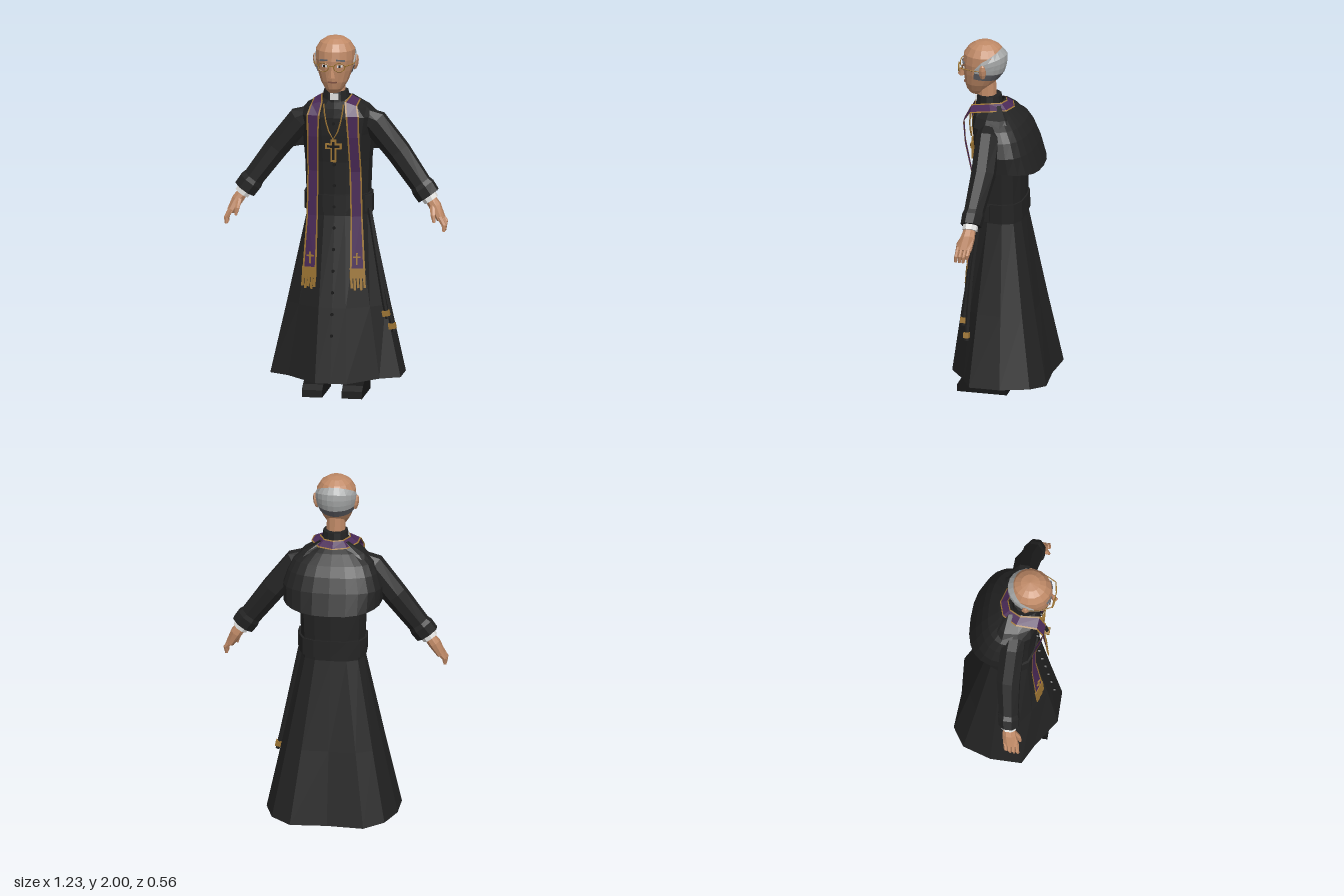
import * as THREE from 'three';

const mat = (name, color) => new THREE.MeshStandardMaterial({ name, color, side: THREE.DoubleSide });
const lerp = THREE.MathUtils.lerp;

// Faceted normals for any geometry
function flat(geo) {
  const g = geo.index ? geo.toNonIndexed() : geo;
  g.computeVertexNormals();
  return g;
}

// Surface from a rule f(i, j) -> [x, y, z]
function grid(nu, nv, f) {
  const pos = [], idx = [];
  for (let j = 0; j <= nv; j++) for (let i = 0; i <= nu; i++) pos.push(...f(i, j));
  for (let j = 0; j < nv; j++) for (let i = 0; i < nu; i++) {
    const a = j * (nu + 1) + i, b = a + 1, c = a + nu + 1, d = c + 1;
    idx.push(a, b, d, a, d, c);
  }
  const g = new THREE.BufferGeometry();
  g.setAttribute('position', new THREE.Float32BufferAttribute(pos, 3));
  g.setIndex(idx);
  return flat(g);
}

// Limb along rows of [x, y, z, radius in the xy plane, radius in z]
function limb(rows, sides = 8) {
  const all = [[...rows[0].slice(0, 3), 0, 0], ...rows, [...rows.at(-1).slice(0, 3), 0, 0]];
  const n = rows.length;
  return grid(sides, n + 1, (i, j) => {
    const k = Math.min(Math.max(j - 1, 0), n - 1);
    const p = rows[Math.max(k - 1, 0)], q = rows[Math.min(k + 1, n - 1)];
    const dx = q[0] - p[0], dy = q[1] - p[1], l = Math.hypot(dx, dy) || 1;
    const a = (i + 0.5) / sides * Math.PI * 2, [x, y, z, r1, r2] = all[j];
    return [x - dy / l * Math.cos(a) * r1, y + dx / l * Math.cos(a) * r1, z + Math.sin(a) * r2];
  });
}

// Interpolate rows whose first entry is the height
function rowAt(rows, y) {
  let k = 0;
  while (k < rows.length - 2 && rows[k + 1][0] < y) k++;
  const t = (y - rows[k][0]) / (rows[k + 1][0] - rows[k][0]);
  return rows[k].map((v, i) => lerp(v, rows[k + 1][i], t));
}

// Cassock: half outlines for the hem and the torso, then [y, half width, front, back, torso share]
const HEM = [[0, 1], [0.24, 1], [0.7, 0.62], [1, 0.42], [1, -0.2], [0.86, -0.76], [0.56, -1], [0, -0.95]];
const TORSO = [[0, 1], [0.35, 0.97], [0.75, 0.8], [0.97, 0.4], [1, -0.2], [0.85, -0.7], [0.5, -0.95], [0, -1]];
const BODY = [
  [0.09, 0.36, 0.275, -0.28, 0], [0.5, 0.275, 0.22, -0.205, 0.3], [1.0, 0.172, 0.147, -0.118, 0.9],
  [1.12, 0.175, 0.145, -0.115, 1], [1.3, 0.182, 0.15, -0.115, 1], [1.45, 0.195, 0.165, -0.11, 1],
  [1.55, 0.215, 0.17, -0.09, 1], [1.6, 0.17, 0.165, -0.05, 1], [1.655, 0.075, 0.155, 0.015, 1],
];
function bodyPoint(i, y, grow = 1) {
  const k = i <= 7 ? i : 14 - i, s = i <= 7 ? 1 : -1;
  const [, hx, zf, zb, t] = rowAt(BODY, y);
  const x = lerp(HEM[k][0], TORSO[k][0], t), z = lerp(HEM[k][1], TORSO[k][1], t);
  return [s * x * hx * grow, y, z * (z > 0 ? zf : -zb) * grow];
}

// Head: [y, half width, front, back]
const HEAD = [
  [1.695, 0.03, 0.19, 0.12], [1.72, 0.052, 0.212, 0.09], [1.76, 0.076, 0.222, 0.06], [1.82, 0.097, 0.23, 0.015],
  [1.88, 0.108, 0.235, -0.005], [1.93, 0.107, 0.228, -0.003], [1.97, 0.083, 0.2, 0.025],
  [1.992, 0.05, 0.165, 0.06], [2.0, 0.001, 0.112, 0.11],
];
function headPoint(a, y, grow = 0) {
  const [, hx, zf, zb] = rowAt(HEAD, y);
  return [Math.sin(a) * (hx + grow), y, (zf + zb) / 2 + Math.cos(a) * ((zf - zb) / 2 + grow)];
}

// Stole, from nape to fringe: outer edge and inner edge
const STOLE = [
  [[0, 1.628, -0.055], [0, 1.665, -0.008]], [[0.08, 1.63, -0.03], [0.05, 1.665, 0.01]],
  [[0.13, 1.635, 0.05], [0.08, 1.667, 0.07]], [[0.13, 1.62, 0.165], [0.06, 1.645, 0.172]],
  [[0.145, 1.57, 0.2], [0.072, 1.57, 0.21]], [[0.145, 1.45, 0.19], [0.08, 1.45, 0.2]],
  [[0.15, 1.25, 0.145], [0.085, 1.25, 0.158]], [[0.155, 1.0, 0.142], [0.09, 1.0, 0.156]],
  [[0.173, 0.71, 0.165], [0.092, 0.71, 0.19]],
];

export function createModel() {
  const model = new THREE.Group();
  const black = mat('black cloth', 0x232323), jet = mat('deep black', 0x171717);
  const purple = mat('purple', 0x4a2a58), gold = mat('gold', 0x9c7433);
  const skin = mat('skin', 0xc08a67), lip = mat('dark skin', 0x7d5040);
  const grey = mat('grey hair', 0xa6a8a8), slate = mat('dark grey hair', 0x64646a), white = mat('white', 0xe2e2e0);

  const add = (name, geo, material, x = 0, y = 0, z = 0, rx = 0, ry = 0, rz = 0) => {
    const m = new THREE.Mesh(flat(geo), material);
    m.name = name;
    m.position.set(x, y, z);
    m.rotation.set(rx, ry, rz);
    model.add(m);
    return m;
  };
  const box = (name, material, w, h, d, ...at) => add(name, new THREE.BoxGeometry(w, h, d), material, ...at);
  const path = (name, pts, r, material) => add(name, new THREE.TubeGeometry(
    new THREE.CatmullRomCurve3(pts.map(p => new THREE.Vector3(...p))), 8, r, 4), material);

  // Robe, belt and buttons
  add('cassock', grid(14, BODY.length - 1, (i, j) => {
    const p = bodyPoint(i, BODY[j][0]);
    if (j === 0 && Math.abs(p[0]) > 0.25) p[1] += 0.015;
    return p;
  }), black);
  add('belt', grid(14, 3, (i, j) => bodyPoint(i, [1.02, 1.02, 1.115, 1.115][j], [1, 1.07, 1.07, 1][j])), black);
  box('beltKnot', black, 0.04, 0.09, 0.06, 0.18, 1.065, 0.07);
  for (let y = 0.35; y < 1.6; y += 0.117)
    add('button', new THREE.CylinderGeometry(0.009, 0.009, 0.014, 6), jet, 0, y, rowAt(BODY, y)[2] + 0.004, Math.PI / 2);

  // Shoulder cape, open at the front: [y, half width, side z, back z]
  const cape = [[1.3, 0.27, 0.0, -0.217], [1.42, 0.275, 0.0, -0.18], [1.5, 0.25, 0.01, -0.148], [1.555, 0.222, 0.03, -0.115],
    [1.605, 0.155, 0.05, -0.06], [1.65, 0.078, 0.07, 0.005]];
  add('cape', grid(12, cape.length - 1, (i, j) => {
    const a = Math.PI * i / 12, [y, hx, z0, zb] = cape[j];
    const c = Math.cos(a), s = Math.pow(Math.sin(a), 0.75);
    return [Math.sign(c) * Math.pow(Math.abs(c), 0.8) * hx, y + (j === 0 ? 0.03 * c * c : 0), lerp(z0, zb, s)];
  }), black);

  // Collar and neck
  add('collar', new THREE.CylinderGeometry(0.068, 0.075, 0.06, 12), black, 0, 1.665, 0.087);
  box('collarTab', white, 0.045, 0.036, 0.008, 0, 1.668, 0.157);
  add('neck', new THREE.CylinderGeometry(0.05, 0.055, 0.14, 10), skin, 0, 1.71, 0.1);

  // Head, hair and face
  add('head', grid(16, HEAD.length - 1, (i, j) => headPoint(i / 8 * Math.PI, HEAD[j][0])), skin);
  add('jawUnderside', grid(16, 1, (i, j) => j ? headPoint(i / 8 * Math.PI, 1.695) : [0, 1.69, 0.15]), skin);
  const hairAngle = i => Math.PI * (0.42 + 1.16 * i / 12);
  const hairTop = i => 1.865 + 0.1 * Math.pow(Math.sin(Math.PI * i / 12), 0.6);
  const hairLow = i => 1.845 - 0.015 * Math.sin(Math.PI * i / 12);
  add('hair', grid(12, 4, (i, j) => headPoint(hairAngle(i), lerp(hairLow(i), hairTop(i), j / 4), j === 4 ? 0.002 : 0.008)), grey);
  add('lowerHair', grid(12, 1, (i, j) => headPoint(hairAngle(i), j ? hairLow(i) : 1.785 + 0.02 * Math.abs(i - 6) / 6, j ? 0.008 : 0.004)), slate);
  add('nose', new THREE.ConeGeometry(0.02, 0.08, 4), skin, 0, 1.83, 0.238, -0.2, 0, 0);
  box('mouth', lip, 0.05, 0.008, 0.008, 0, 1.762, 0.221);
  box('glassesBridge', gold, 0.026, 0.005, 0.005, 0, 1.858, 0.252);
  for (const s of [-1, 1]) {
    box('eye', white, 0.03, 0.012, 0.006, s * 0.042, 1.853, 0.222, 0, s * 0.35);
    box('pupil', jet, 0.011, 0.012, 0.006, s * 0.042, 1.853, 0.225, 0, s * 0.35);
    box('eyebrow', slate, 0.048, 0.009, 0.009, s * 0.046, 1.885, 0.222, 0, s * 0.35, -s * 0.1);
    add('glassesRim', new THREE.TorusGeometry(0.031, 0.003, 4, 10), gold, s * 0.044, 1.852, 0.248, 0, s * 0.2).scale.y = 0.8;
    path('glassesTemple', [[s * 0.074, 1.858, 0.242], [s * 0.107, 1.86, 0.17], [s * 0.115, 1.86, 0.1]], 0.003, gold);
    add('ear', new THREE.SphereGeometry(0.04, 6, 5), skin, s * 0.11, 1.855, 0.1, 0, 0, -s * 0.15).scale.set(0.4, 1.1, 0.55);
  }

  // Pendant cross and chain
  path('chain', [[-0.055, 1.63, 0.175], [-0.04, 1.53, 0.188], [0, 1.435, 0.188], [0.04, 1.53, 0.188], [0.055, 1.63, 0.175]], 0.004, gold);
  box('crossUpright', gold, 0.03, 0.125, 0.012, 0, 1.37, 0.178);
  box('crossBar', gold, 0.09, 0.03, 0.012, 0, 1.395, 0.178);
  box('crossInlay', jet, 0.014, 0.1, 0.004, 0, 1.37, 0.185);
  box('crossInlay', jet, 0.07, 0.013, 0.004, 0, 1.395, 0.185);

  for (const s of [-1, 1]) {
    const flip = rows => rows.map(([x, ...rest]) => [s * x, ...rest]);

    // Stole half: gold borders, purple band, fringe and small cross
    const across = (k, u) => STOLE[k][0].map((v, c) => lerp(v, STOLE[k][1][c], u) * (c === 0 ? s : 1));
    for (const [name, material, u0, u1] of [['stoleBorder', gold, 0, 0.13], ['stoleBand', purple, 0.13, 0.87], ['stoleBorder', gold, 0.87, 1]])
      add(name, grid(1, STOLE.length - 1, (i, j) => across(j, i ? u1 : u0)), material);
    box('fringeTop', gold, 0.084, 0.055, 0.008, s * 0.133, 0.69, 0.18, -0.1, s * 0.3);
    for (let k = 0; k < 5; k++)
      box('fringeStrand', gold, 0.013, 0.07, 0.007, s * (0.102 + k * 0.017), 0.645 - (k % 2) * 0.012, 0.194 - k * 0.005, -0.1, s * 0.3, s * 0.06);
    box('stoleCross', gold, 0.009, 0.065, 0.006, s * 0.129, 0.77, 0.178, -0.1, s * 0.25);
    box('stoleCross', gold, 0.042, 0.009, 0.006, s * 0.129, 0.78, 0.177, -0.1, s * 0.25);

    // Sleeve, shirt cuff and hand
    add('sleeve', limb(flip([[0.13, 1.55, 0.05, 0.045, 0.06], [0.205, 1.51, 0.045, 0.075, 0.068], [0.335, 1.35, 0.04, 0.07, 0.068],
      [0.46, 1.18, 0.06, 0.062, 0.056], [0.475, 1.16, 0.062, 0.07, 0.062], [0.507, 1.115, 0.067, 0.068, 0.058]])), black);
    add('shirtCuff', limb(flip([[0.49, 1.14, 0.068, 0.046, 0.042], [0.523, 1.092, 0.07, 0.044, 0.042]])), white);
    add('palm', limb(flip([[0.51, 1.11, 0.07, 0.03, 0.03], [0.545, 1.06, 0.075, 0.034, 0.04], [0.58, 0.995, 0.09, 0.024, 0.045]])), skin);
    for (let k = 0; k < 4; k++) {
      const z = 0.058 + k * 0.021, low = k === 0 ? 0.02 : 0;
      add('finger', limb(flip([[0.575, 1.01, z, 0.016, 0.011], [0.602, 0.965 + low / 2, z + 0.006, 0.014, 0.011],
        [0.6, 0.932 + low, z + 0.01, 0.009, 0.008]]), 6), skin);
    }
    add('thumb', limb(flip([[0.535, 1.07, 0.095, 0.018, 0.015], [0.54, 1.02, 0.125, 0.014, 0.014], [0.548, 0.98, 0.135, 0.008, 0.009]]), 6), skin);

    // Trouser leg and shoe
    add('trouserLeg', new THREE.CylinderGeometry(0.065, 0.055, 0.6, 8), black, s * 0.11, 0.36, 0.015);
    const side = new THREE.Shape([[-0.05, 0], [0.23, 0], [0.228, 0.04], [0.19, 0.065], [0.1, 0.1], [-0.04, 0.1]].map(p => new THREE.Vector2(...p)));
    const shoe = new THREE.ExtrudeGeometry(side, { depth: 0.112, bevelEnabled: false });
    add('shoe', shoe.rotateY(-Math.PI / 2), jet, s * 0.11 + 0.056, 0, 0);
  }

  // Two hanging belt cords with gold bands near their ends
  for (const [x, y, z] of [[0.288, 0.47, 0.163], [0.318, 0.395, 0.138]]) {
    path('beltCord', [[0.185, 1.04, 0.1], [lerp(0.185, x, 0.5), lerp(1.04, y, 0.5), lerp(0.1, z, 0.5) + 0.01], [x, y, z], [x + 0.008, y - 0.03, z]], 0.012, black);
    box('cordBand', gold, 0.04, 0.03, 0.03, x, y, z, 0, 0, 0.2);
  }
  return model;
}
